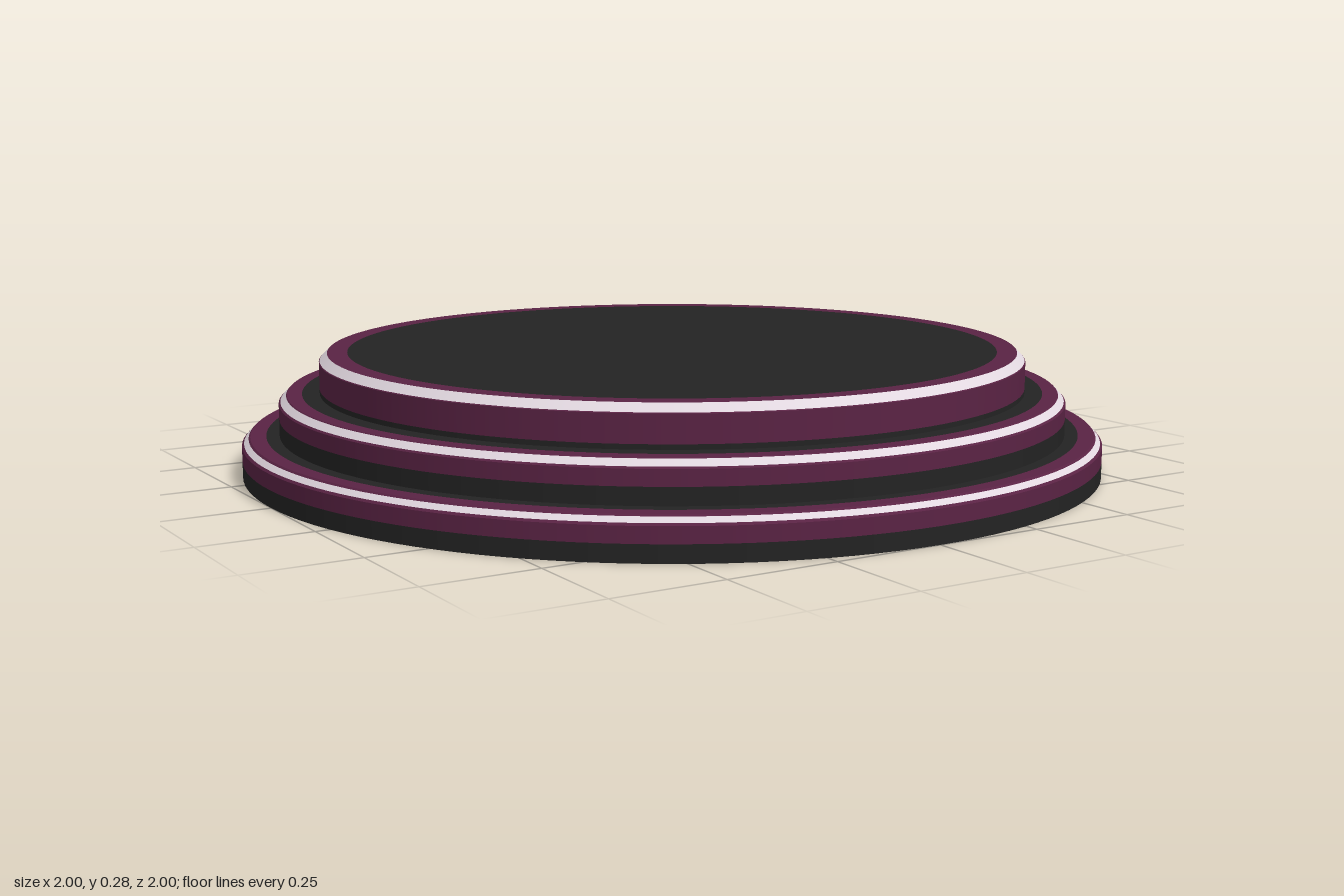
import * as THREE from 'three';

const material = (name, color) => {
  const m = new THREE.MeshStandardMaterial({ color });
  m.name = name;
  return m;
};

export function createModel() {
  const charcoal = material('charcoal', 0x232323);
  const plum = material('plum', 0x5a2344);
  const pale = material('pale trim', 0xe2d8e0);
  const model = new THREE.Group();
  model.name = 'steppedPedestal';

  // One ring of the turned profile, running from the start to the end point
  const ring = (parent, name, mat, from, to) => {
    const points = [new THREE.Vector2(...from), new THREE.Vector2(...to)];
    const mesh = new THREE.Mesh(new THREE.LatheGeometry(points, 128), mat);
    mesh.name = name;
    parent.add(mesh);
  };

  // r: radius, y0..y1: height, split: top of the dark side band,
  // trim: extent of the pale line along the bevel, lip: inner radius of the plum rim,
  // inner: where the next step (or the centre) begins
  const tiers = [
    { r: 1, y0: 0, y1: 0.092, split: 0.038, trim: [0.25, 0.8], lip: 0.945, inner: 0.915 },
    { r: 0.915, y0: 0.092, y1: 0.184, split: 0.13, trim: [0.2, 0.9], lip: 0.862, inner: 0.822 },
    { r: 0.822, y0: 0.184, y1: 0.275, split: 0.195, trim: [0.1, 1], lip: 0.757, inner: 0 },
  ];
  const bevel = 0.019;

  tiers.forEach(({ r, y0, y1, split, trim, lip, inner }, i) => {
    const tier = new THREE.Group();
    tier.name = `tier${i + 1}`;
    model.add(tier);
    const onBevel = (t) => [r - bevel * t, y1 - bevel * (1 - t)];

    // Side wall
    ring(tier, 'lowerBand', charcoal, [r, y0], [r, split]);
    ring(tier, 'upperBand', plum, [r, split], onBevel(0));
    // Bevelled edge with its pale line
    ring(tier, 'bevelOuter', plum, onBevel(0), onBevel(trim[0]));
    ring(tier, 'trimLine', pale, onBevel(trim[0]), onBevel(trim[1]));
    if (trim[1] < 1) ring(tier, 'bevelInner', plum, onBevel(trim[1]), onBevel(1));
    // Flat tread
    ring(tier, 'rim', plum, onBevel(1), [lip, y1]);
    ring(tier, 'tread', charcoal, [lip, y1], [inner, y1]);
  });

  // Closed base
  ring(model, 'underside', charcoal, [0, 0], [1, 0]);
  return model;
}
